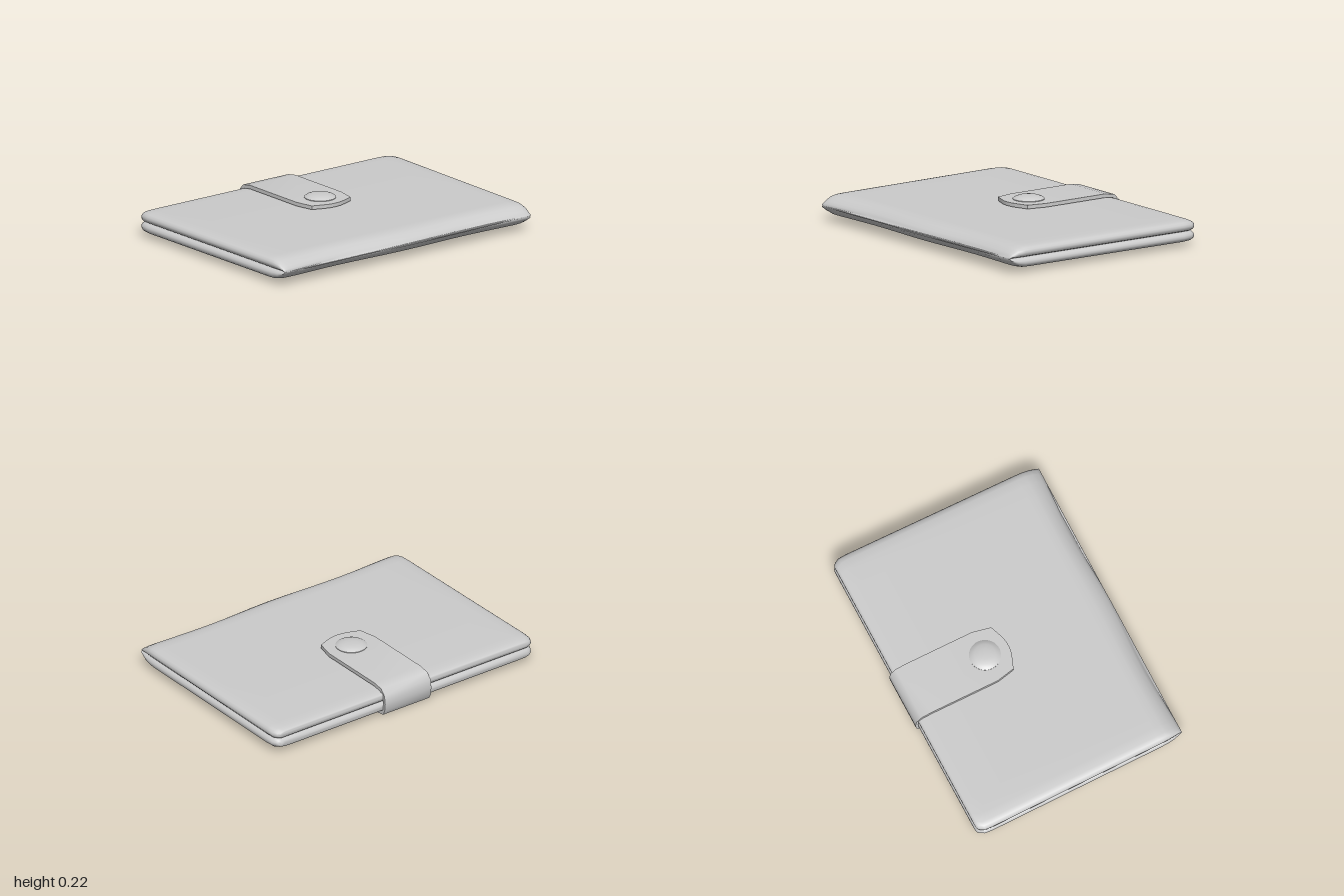
import * as THREE from 'three';
import { toCreasedNormals } from 'three/addons/utils/BufferGeometryUtils.js';

const MID = 0.095; // height of the seam between the two leaves

// Skin a list of equal-length closed rings and cap both ends.
function loft(rings, crease) {
  const n = rings[0].length, index = [];
  for (let i = 0; i < rings.length - 1; i++) {
    for (let j = 0; j < n; j++) {
      const k = (j + 1) % n;
      const a = i * n + j, b = a + n, c = i * n + k, d = c + n;
      index.push(a, b, c, b, d, c);
    }
  }
  const last = (rings.length - 1) * n;
  for (let j = 1; j < n - 1; j++) {
    index.push(0, j, j + 1, last, last + j + 1, last + j);
  }
  const geometry = new THREE.BufferGeometry();
  geometry.setAttribute('position', new THREE.Float32BufferAttribute(rings.flat(2), 3));
  geometry.setIndex(index);
  return toCreasedNormals(geometry, crease);
}

// One padded leaf; side = 1 for the upper, -1 for the lower.
function leafGeometry(side) {
  // x, bottom and top height above the seam, half length in z
  const stations = [
    [-0.70, 0.028, 0.046, 0.955], [-0.697, 0.013, 0.055, 0.967],
    [-0.685, 0.004, 0.060, 0.98], [-0.655, 0.001, 0.065, 0.997],
    [-0.60, 0.001, 0.068, 1.0], [0, 0.001, 0.068, 0.993],
    [0.56, 0.001, 0.068, 0.987], [0.61, 0, 0.067, 0.985],
    [0.655, 0, 0.056, 0.98], [0.69, 0, 0.032, 0.973],
    [0.707, 0, 0.018, 0.97], [0.712, 0, 0.006, 0.968],
  ];
  // rolled edge: inset from the end, fraction of the height
  const edge = [[0.03, 0], [0.012, 0.12], [0.002, 0.3], [0, 0.5], [0.005, 0.7],
    [0.018, 0.87], [0.045, 0.965], [0.1, 1]];
  const rings = stations.map(([x, low, high, half]) => {
    const loop = edge.map(([inset, t]) => [half - inset, t]);
    for (let i = 6; i >= -6; i--) loop.push([i * 0.13, 1]);
    edge.slice().reverse().forEach(([inset, t]) => loop.push([inset - half, t]));
    for (let i = -6; i <= 6; i++) loop.push([i * 0.13, 0]);
    const wave = THREE.MathUtils.smoothstep(x, 0.56, 0.7) * 0.009;
    return loop.map(([z, t]) => [
      x + wave * Math.cos(z * Math.PI * 2),
      MID + side * (low + (high - low) * t),
      side * z,
    ]);
  });
  return loft(rings, 1.1);
}

// Closing strap, from the end underneath, around the open edge, to the rounded tip.
function strapGeometry() {
  // outer x, y, inner x, y, half width
  const path = [
    [0.01, 0, 0.01, 0.026, 0.178], [-0.64, 0, -0.63, 0.026, 0.178],
    [-0.70, 0.009, -0.684, 0.03, 0.178], [-0.716, 0.04, -0.699, 0.05, 0.178],
    [-0.722, 0.09, -0.703, 0.09, 0.178], [-0.714, 0.145, -0.697, 0.138, 0.178],
    [-0.68, 0.182, -0.67, 0.161, 0.178], [-0.61, 0.194, -0.61, 0.17, 0.178],
    [-0.15, 0.194, -0.15, 0.17, 0.178], [-0.03, 0.194, -0.03, 0.17, 0.152],
    [-0.008, 0.194, -0.008, 0.17, 0.095], [0.008, 0.194, 0.008, 0.17, 0.045],
    [0.012, 0.194, 0.012, 0.17, 0.01],
  ];
  const z = 0.006;
  return loft(path.map(([ox, oy, ix, iy, h]) => [
    [ox, oy, z + h], [ox, oy, z - h], [ix, iy, z - h], [ix, iy, z + h],
  ]), 0.75);
}

export function createModel() {
  const group = new THREE.Group();
  const material = new THREE.MeshStandardMaterial({ color: 0xcccccc });
  const add = (name, geometry) => {
    const mesh = new THREE.Mesh(geometry, material);
    mesh.name = name;
    group.add(mesh);
    return mesh;
  };

  add('upperCover', leafGeometry(1));
  add('lowerCover', leafGeometry(-1));
  add('strap', strapGeometry());

  // Domed snap button near the strap tip
  const profile = [[0, 0.188], [0.098, 0.188], [0.099, 0.198], [0.085, 0.207],
    [0.066, 0.214], [0.035, 0.218], [0, 0.219]].map(([r, y]) => new THREE.Vector2(r, y));
  const button = add('snapButton', toCreasedNormals(new THREE.LatheGeometry(profile, 40), 0.8));
  button.position.x = -0.147;

  return group;
}
